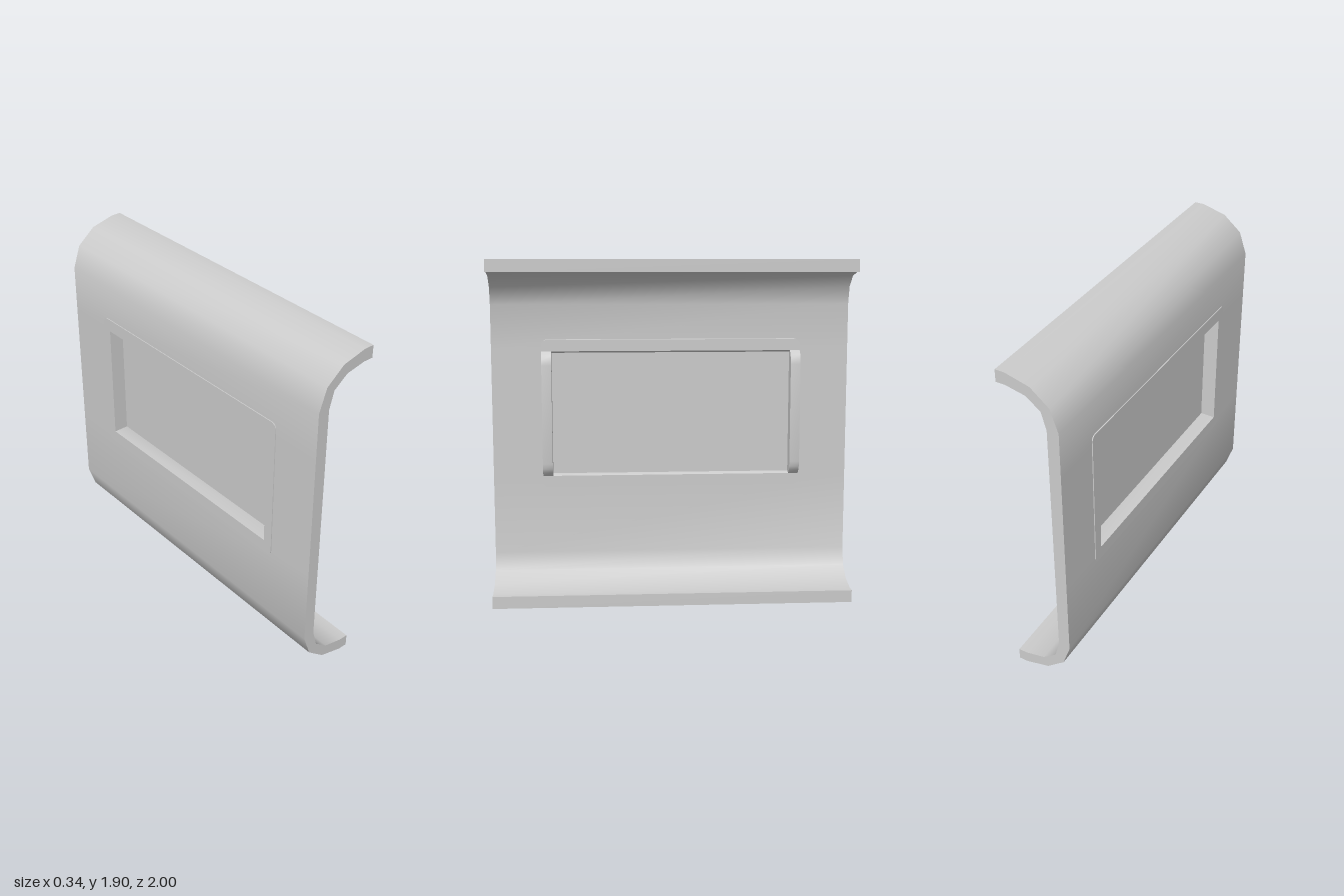
import * as THREE from 'three';
import { toCreasedNormals } from 'three/addons/utils/BufferGeometryUtils.js';

const HEIGHT = 1.905;
const WIN = { bottom: 0.70, top: 1.40, halfZ: 0.665 }; // window opening
const material = new THREE.MeshStandardMaterial({ color: 0xcccccc });

function addMesh(parent, name, geometry) {
  const mesh = new THREE.Mesh(geometry, material);
  mesh.name = name;
  parent.add(mesh);
  return mesh;
}

// Extrudes an x-y outline along z, from z0 to z1
function prism(points, z0, z1) {
  const shape = new THREE.Shape(points.map(([x, y]) => new THREE.Vector2(x, y)));
  const geo = new THREE.ExtrudeGeometry(shape, { depth: z1 - z0, bevelEnabled: false });
  geo.translate(0, 0, z0);
  return toCreasedNormals(geo, 0.8);
}

function box(x0, x1, y0, y1, z0, z1) {
  return new THREE.BoxGeometry(x1 - x0, y1 - y0, z1 - z0)
    .translate((x0 + x1) / 2, (y0 + y1) / 2, (z0 + z1) / 2);
}

// Curled edge of the panel, running into the flat wall up to wallY
function curl(wallY) {
  return [
    [0.167, 0], [0.115, 0], [-0.02, 0.035], [-0.122, 0.12], [-0.165, 0.245], [-0.165, wallY],
    [-0.1, wallY], [-0.1, 0.25], [-0.073, 0.153], [0.005, 0.092], [0.115, 0.068], [0.167, 0.068],
  ];
}

// Rounded window surround, extruded along x
function frameGeometry() {
  const w = 0.72, y0 = 0.637, y1 = 1.463, r = 0.03;
  const shape = new THREE.Shape();
  shape.absarc(w - r, y0 + r, r, -Math.PI / 2, 0);
  shape.absarc(w - r, y1 - r, r, 0, Math.PI / 2);
  shape.absarc(-w + r, y1 - r, r, Math.PI / 2, Math.PI);
  shape.absarc(-w + r, y0 + r, r, Math.PI, Math.PI * 1.5);
  shape.closePath();
  const h = WIN.halfZ;
  const hole = new THREE.Path([
    new THREE.Vector2(-h, WIN.bottom), new THREE.Vector2(-h, WIN.top),
    new THREE.Vector2(h, WIN.top), new THREE.Vector2(h, WIN.bottom),
  ]);
  hole.closePath();
  shape.holes.push(hole);
  const geo = new THREE.ExtrudeGeometry(shape, { depth: 0.12, bevelEnabled: false, curveSegments: 5 });
  geo.rotateY(Math.PI / 2).translate(-0.17, 0, 0);
  return toCreasedNormals(geo, 0.8);
}

export function createModel() {
  const model = new THREE.Group();
  model.name = 'wallPanelWithWindow';

  // Wall panel: curled bottom and top edges, wall strips beside the window
  const panel = new THREE.Group();
  panel.name = 'panel';
  model.add(panel);
  addMesh(panel, 'lowerPanel', prism(curl(WIN.bottom), -1, 1));
  const upper = curl(HEIGHT - WIN.top).map(([x, y]) => [x, HEIGHT - y]).reverse();
  addMesh(panel, 'upperPanel', prism(upper, -1, 1));
  addMesh(panel, 'frontWallStrip', box(-0.165, -0.1, WIN.bottom, WIN.top, WIN.halfZ, 1));
  addMesh(panel, 'backWallStrip', box(-0.165, -0.1, WIN.bottom, WIN.top, -1, -WIN.halfZ));

  // Window: surround, pane, slanted lips above and below
  const win = new THREE.Group();
  win.name = 'window';
  model.add(win);
  addMesh(win, 'windowFrame', frameGeometry());
  addMesh(win, 'pane', box(-0.085, -0.078, WIN.bottom, WIN.top, -WIN.halfZ, WIN.halfZ));
  const lip = [[-0.17, 0], [-0.05, 0], [-0.075, 0.01], [-0.17, 0.01]];
  addMesh(win, 'lowerLip', prism(lip.map(([x, y]) => [x, WIN.bottom + y]), -WIN.halfZ, WIN.halfZ));
  addMesh(win, 'upperLip',
    prism(lip.map(([x, y]) => [x, WIN.top - y]).reverse(), -WIN.halfZ, WIN.halfZ));

  // Raised side jambs with rounded ends
  const end = [[-0.05, 0.7], [-0.025, 0.722], [-0.013, 0.745], [-0.008, 0.775]];
  const jamb = [...end, ...end.map(([x, y]) => [x, WIN.bottom + WIN.top - y]).reverse()];
  addMesh(win, 'frontJamb', prism(jamb, WIN.halfZ, 0.72));
  addMesh(win, 'backJamb', prism(jamb, -0.72, -WIN.halfZ));

  return model;
}
